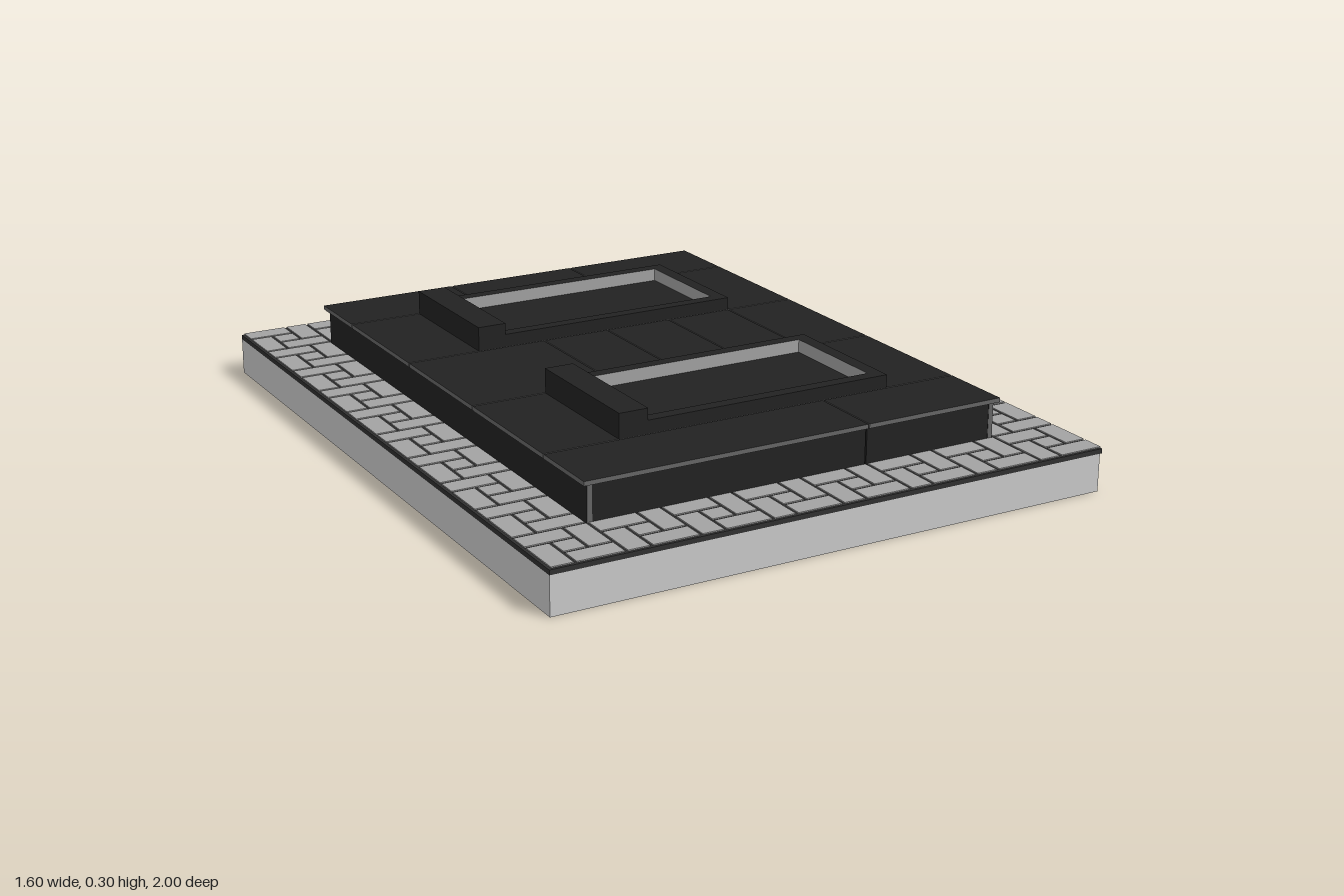
import * as THREE from 'three';

const mat = (name, color) => {
  const m = new THREE.MeshStandardMaterial({ color });
  m.name = name;
  return m;
};

export function createModel() {
  const concrete = mat('light concrete', 0xcacaca);
  const paving = mat('grey paving', 0xa2a2a2);
  const mortar = mat('dark mortar', 0x303030);
  const granite = mat('polished black granite', 0x222222);
  const rawEdge = mat('unpolished stone edge', 0x666666);

  const model = new THREE.Group();
  model.name = 'pavedMemorialPlot';

  const group = (name) => {
    const g = new THREE.Group();
    g.name = name;
    model.add(g);
    return g;
  };

  // Box given by its limits on each axis
  const block = (parent, name, material, [x0, x1], [y0, y1], [z0, z1]) => {
    const mesh = new THREE.Mesh(new THREE.BoxGeometry(x1 - x0, y1 - y0, z1 - z0), material);
    mesh.position.set((x0 + x1) / 2, (y0 + y1) / 2, (z0 + z1) / 2);
    mesh.name = name;
    parent.add(mesh);
    return mesh;
  };

  // Foundation and mortar bed
  block(model, 'foundation', concrete, [-0.8, 0.793], [0, 0.104], [-1, 1]);
  block(model, 'mortarBed', mortar, [-0.8, 0.799], [0.104, 0.117], [-0.999, 1]);

  // Pinwheel paving: four bricks around one square, repeated around the platform
  const pavers = group('pavers');
  const cell = 0.2 / 3;
  const joint = 0.008;
  const pinwheel = [ // column, row, columns wide, rows deep
    [0, 0, 2, 1], [2, 0, 1, 2], [1, 2, 2, 1], [0, 1, 1, 2], [1, 1, 1, 1],
  ];
  for (let i = 0; i < 8; i++) {
    for (let j = 0; j < 10; j++) {
      if (i > 0 && i < 7 && j > 0 && j < 9) continue;
      for (const [c, r, w, d] of pinwheel) {
        const x = -0.8 + i * 0.2 + c * cell;
        const z = -1 + j * 0.2 + r * cell;
        block(pavers, 'paver', paving,
          [x + joint, x + w * cell], [0.106, 0.12], [z, z + d * cell - joint]);
      }
    }
  }

  // Platform core, seen only through the joints
  const platform = group('platform');
  block(platform, 'core', rawEdge, [-0.585, 0.585], [0.117, 0.226], [-0.79, 0.79]);

  // Side cladding with unpolished ends
  const sideStone = [granite, granite, granite, rawEdge, rawEdge, rawEdge];
  const gap = 0.002;
  block(platform, 'leftCladding', sideStone, [0.583, 0.597], [0.117, 0.22], [-0.4 + gap, 0.8]);
  block(platform, 'leftCladding', sideStone, [0.583, 0.597], [0.117, 0.22], [-0.8, -0.4 - gap]);
  block(platform, 'rightCladding', sideStone, [-0.597, -0.583], [0.117, 0.22], [-0.8, 0.8]);
  for (const s of [-1, 1]) {
    const zs = s > 0 ? [0.785, 0.799] : [-0.799, -0.785];
    const name = s > 0 ? 'frontCladding' : 'backCladding';
    block(platform, name, granite, [-0.583, 0.2 - gap], [0.117, 0.22], zs);
    block(platform, name, granite, [0.2 + gap, 0.583], [0.117, 0.22], zs);
  }

  // Top slabs in rows: limits in z, then the joints in x
  const slabStone = [rawEdge, rawEdge, granite, rawEdge, rawEdge, rawEdge];
  const rows = [
    [-0.812, -0.6, [-0.612, -0.2, 0.2, 0.612]],
    [-0.6, -0.2, [-0.612, 0.612]],
    [-0.2, 0.2, [-0.612, -0.2, 0, 0.2, 0.4, 0.612]],
    [0.2, 0.6, [-0.612, 0.612]],
    [0.6, 0.812, [-0.612, 0.2, 0.612]],
  ];
  for (const [z0, z1, xs] of rows) {
    for (let i = 0; i < xs.length - 1; i++) {
      block(platform, 'topSlab', slabStone,
        [xs[i] + gap, xs[i + 1] - gap], [0.218, 0.23], [z0 + gap, z1 - gap]);
    }
  }

  // Two bed surrounds, each with a raised head block and pale inner faces
  const paleFace = (side) => Array.from({ length: 6 }, (_, i) => (i === side ? paving : granite));
  for (const zc of [-0.4, 0.4]) {
    const bed = group(zc > 0 ? 'frontBed' : 'backBed');
    const y = [0.23, 0.266];
    block(bed, 'headBlock', granite, [-0.4, -0.318], [0.23, 0.298], [zc - 0.2, zc + 0.2]);
    block(bed, 'backRail', paleFace(4), [-0.318, 0.362], y, [zc - 0.2, zc - 0.165]);
    block(bed, 'frontRail', paleFace(5), [-0.318, 0.362], y, [zc + 0.165, zc + 0.2]);
    block(bed, 'footRail', paleFace(1), [0.362, 0.4], y, [zc - 0.2, zc + 0.2]);
  }

  return model;
}
